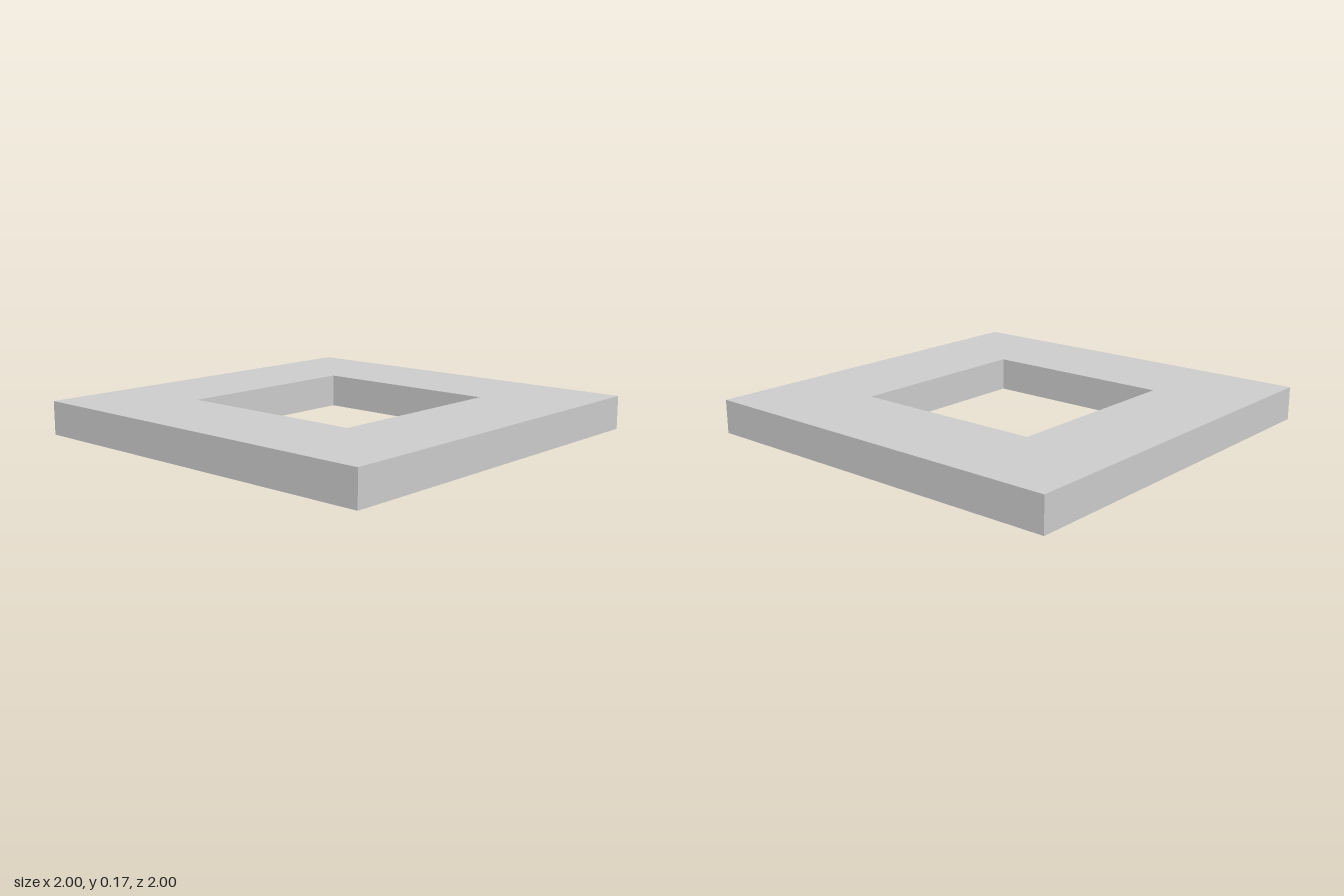
import * as THREE from 'three';

const OUTER = 1;      // half-width of the plate
const INNER = 0.5;    // half-width of the opening
const HEIGHT = 0.17;

const squarePoints = (h) => [
  new THREE.Vector2(-h, -h),
  new THREE.Vector2(h, -h),
  new THREE.Vector2(h, h),
  new THREE.Vector2(-h, h),
];

export function createModel() {
  const group = new THREE.Group();
  group.name = 'squareFrame';

  // Flat square plate with a square opening through its middle
  const outline = new THREE.Shape(squarePoints(OUTER));
  outline.holes.push(new THREE.Path(squarePoints(INNER).reverse()));

  const geometry = new THREE.ExtrudeGeometry(outline, { depth: HEIGHT, bevelEnabled: false });
  geometry.rotateX(-Math.PI / 2); // lay flat, extruding upward from y = 0

  const plate = new THREE.Mesh(
    geometry,
    new THREE.MeshStandardMaterial({ color: 0xcccccc, flatShading: true })
  );
  plate.name = 'framePlate';
  group.add(plate);

  return group;
}
